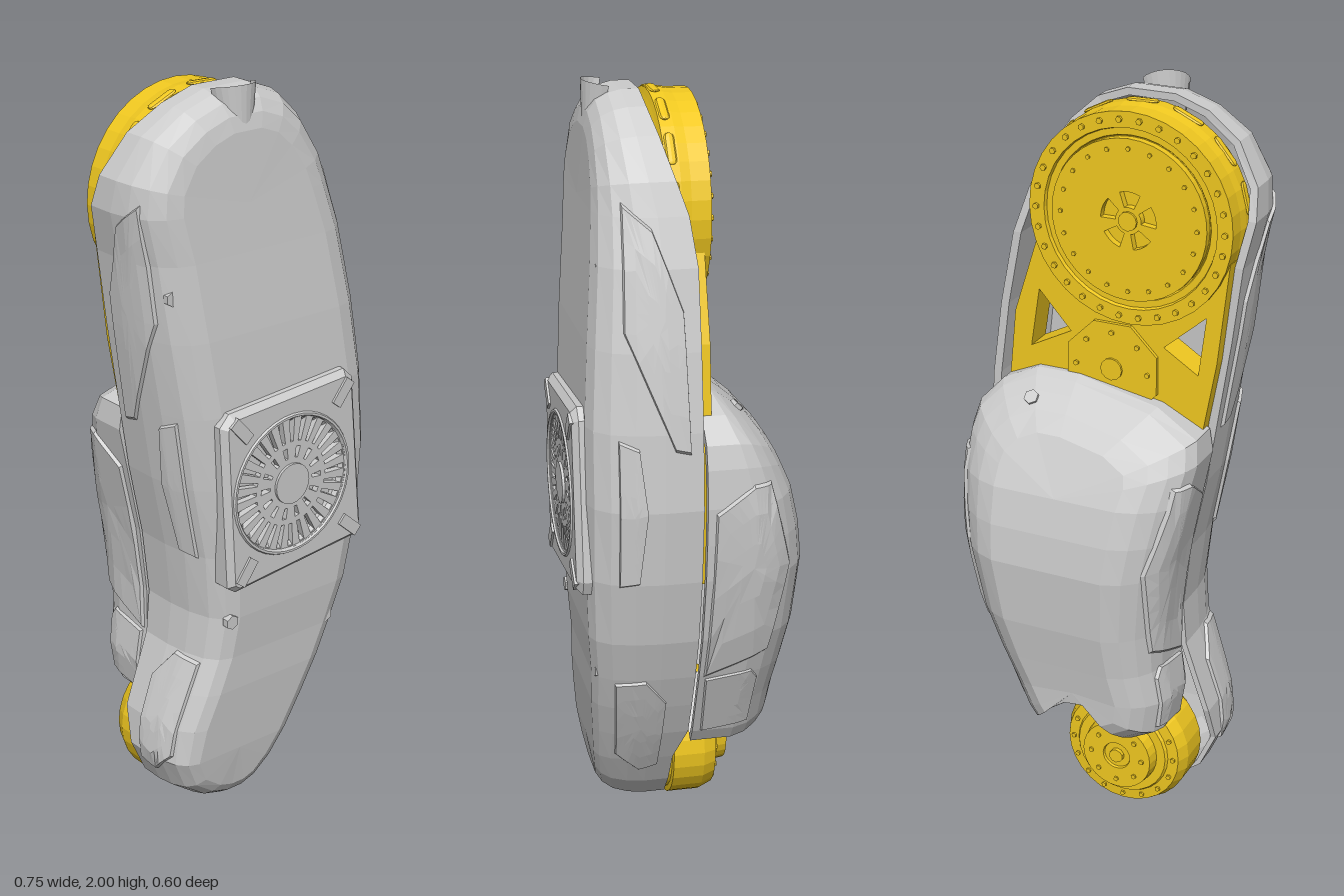
import * as THREE from 'three';

const grey = new THREE.MeshStandardMaterial({ color: 0xcccccc, flatShading: true, side: THREE.DoubleSide });
const yellow = new THREE.MeshStandardMaterial({ color: 0xf0c820, flatShading: true, side: THREE.DoubleSide });

// linear lookup of column c in rows sorted by column k
function look(rows, v, c, k = 0) {
  if (v <= rows[0][k]) return rows[0][c];
  for (let i = 1; i < rows.length; i++) {
    const a = rows[i - 1], b = rows[i];
    if (v <= b[k]) return a[c] + (b[c] - a[c]) * (v - a[k]) / (b[k] - a[k] || 1);
  }
  return rows[rows.length - 1][c];
}

function add(parent, name, geo, mat, x = 0, y = 0, z = 0) {
  const m = new THREE.Mesh(geo, mat);
  m.name = name;
  m.position.set(x, y, z);
  parent.add(m);
  return m;
}

// surface through a list of closed loops of points
function loft(loops) {
  const n = loops[0].length, idx = [];
  for (let k = 0; k < loops.length - 1; k++) for (let i = 0; i < n; i++) {
    const j = (i + 1) % n, a = k * n + i, b = k * n + j, c = b + n, d = a + n;
    idx.push(a, b, c, a, c, d);
  }
  const g = new THREE.BufferGeometry();
  g.setAttribute('position', new THREE.Float32BufferAttribute(loops.flat(2), 3));
  g.setIndex(idx);
  g.computeVertexNormals();
  return g;
}

// shell rows: y, left edge x, right edge x, depth of the outer face
const front = {
  sign: 1, lo: 0.2, hi: 1.72, extra: [],
  rows: [[0.01, -0.09, -0.03, 0.17], [0.035, -0.16, 0.02, 0.19], [0.1, -0.245, 0.075, 0.21], [0.2, -0.29, 0.135, 0.225],
    [0.3, -0.28, 0.19, 0.235], [0.4, -0.245, 0.235, 0.245], [0.5, -0.21, 0.275, 0.25], [0.62, -0.2, 0.315, 0.262],
    [0.8, -0.22, 0.352, 0.27], [1, -0.26, 0.37, 0.27], [1.2, -0.29, 0.357, 0.268], [1.4, -0.32, 0.33, 0.255],
    [1.6, -0.345, 0.29, 0.238], [1.72, -0.37, 0.25, 0.228], [1.8, -0.362, 0.22, 0.222], [1.9, -0.3, 0.155, 0.217],
    [1.96, -0.21, 0.09, 0.212], [1.99, -0.12, 0.01, 0.21]],
  rim: y => y < 0.3 ? look([[0.2, 0.02], [0.3, -0.01]], y, 1) : look([[1.68, -0.01], [1.75, 0.015], [1.97, 0.08]], y, 1),
  // scale towards the spine, share of the depth
  levels: [[1, 0], [1, 0.35], [0.97, 0.6], [0.9, 0.82], [0.79, 0.95], [0.65, 1], [0, 1]],
};
const rear = {
  sign: -1, lo: 0.42, hi: 1,
  rows: [[0.26, -0.13, 0.17, 0.24], [0.3, -0.2, 0.195, 0.245], [0.4, -0.215, 0.235, 0.25], [0.5, -0.2, 0.275, 0.265],
    [0.62, -0.2, 0.315, 0.285], [0.8, -0.22, 0.352, 0.3], [0.9, -0.24, 0.362, 0.29], [1, -0.26, 0.368, 0.268],
    [1.1, -0.28, 0.36, 0.225], [1.16, -0.27, 0.345, 0.19], [1.22, -0.15, 0.29, 0.14], [1.26, 0.08, 0.2, 0.1]],
  extra: [[-0.1, 0.33], [-0.03, 0.36], [0.06, 0.35], [0.13, 0.3]], // arch over the lower drive
  rim: () => 0.02,
  levels: [[1, 0], [1, 0.5], [0.95, 0.68], [0.85, 0.82], [0.72, 0.93], [0.55, 1], [0, 1]],
};

function shellGeometry(s) {
  const pts = [...s.extra, ...s.rows.map(r => [r[2], r[0]]), ...[...s.rows].reverse().map(r => [r[1], r[0]])];
  if (s.sign < 0) pts.reverse();
  const inner = [[0.93, 0], [0.92, 0.45], [0.82, 0.75], [0.6, 0.86], [0, 0.86]];
  const loop = ([k, f]) => pts.map(([x, y]) => {
    const sy = THREE.MathUtils.clamp(y, s.lo, s.hi);
    const sx = (look(s.rows, sy, 1) + look(s.rows, sy, 2)) / 2;
    const py = sy + (y - sy) * k, r = s.rim(y);
    return [sx + (x - sx) * k, py, s.sign * (r + (look(s.rows, py, 3) - r) * f)];
  });
  return loft([...inner.reverse(), ...s.levels].map(loop));
}

// x of a shell's side wall at height y and depth z
function wallX(s, side, y, z) {
  const r = s.rim(y), f = (s.sign * z - r) / (look(s.rows, y, 3) - r);
  const k = look(s.levels.slice(1), f, 0, 1);
  const l = look(s.rows, y, 1), rt = look(s.rows, y, 2);
  return (l + rt) / 2 + side * k * (rt - l) / 2;
}

// raised panel following a side wall; corners are [z, y]
function panelGeometry(s, side, corners) {
  const n = corners.length, edge = [];
  corners.forEach((a, i) => {
    const b = corners[(i + 1) % n];
    for (let t = 0; t < 1; t += 0.25) edge.push([a[0] + (b[0] - a[0]) * t, a[1] + (b[1] - a[1]) * t]);
  });
  const cz = corners.reduce((t, c) => t + c[0], 0) / n, cy = corners.reduce((t, c) => t + c[1], 0) / n;
  return loft([[1, -0.006], [0.95, 0.009], [0.65, 0.009], [0.3, 0.009], [0, 0.009]].map(([k, o]) => edge.map(p => {
    const z = cz + (p[0] - cz) * k, y = cy + (p[1] - cy) * k;
    return [wallX(s, side, y, z) + side * o, y, z];
  })));
}

const shapeOf = pts => new THREE.Shape(pts.map(p => new THREE.Vector2(...p)));
const circle = (r, x = 0, y = 0) => new THREE.Path().absarc(x, y, r, 0, Math.PI * 2, true);
const disc = r => new THREE.Shape().absarc(0, 0, r, 0, Math.PI * 2, false);
const extrude = (shape, depth, bevel = 0) => new THREE.ExtrudeGeometry(shape, {
  depth, bevelEnabled: bevel > 0, bevelSize: bevel, bevelThickness: bevel, bevelSegments: 1, curveSegments: 20 });
const rod = (r, h, n = 6) => new THREE.CylinderGeometry(r, r, h, n).rotateX(Math.PI / 2);
// turned part about the z axis; profile points are [radius, z]
const turned = (pts, n) => new THREE.LatheGeometry(pts.map(([r, z]) => new THREE.Vector2(r, z)), n).rotateX(Math.PI / 2);

function ringOf(parent, name, count, radius, z, make, phase = 0) {
  for (let i = 0; i < count; i++) {
    const a = phase + i / count * Math.PI * 2;
    add(parent, name, make(), yellow, Math.cos(a) * radius, Math.sin(a) * radius, z).rotation.z = a;
  }
}

// radial slot outlines between two radii
function slots(shape, count, r0, r1, w) {
  for (let i = 0; i < count; i++) {
    const a = i / count * Math.PI * 2, c = Math.cos(a), s = Math.sin(a);
    shape.holes.push(new THREE.Path([[r0, -w * 0.6], [r0, w * 0.6], [r1, w], [r1, -w]].map(
      ([r, t]) => new THREE.Vector2(r * c - t * s, r * s + t * c))));
  }
}

function fanVent() {
  const g = new THREE.Group();
  g.name = 'fanVent';
  g.position.set(0.03, 0.975, 0);
  const frame = shapeOf([[-0.17, -0.245], [0.225, -0.205], [0.235, -0.18], [0.195, 0.23], [0.175, 0.25],
    [-0.19, 0.222], [-0.21, 0.2], [-0.185, -0.235]]);
  frame.holes.push(circle(0.185));
  add(g, 'ventFrame', extrude(frame, 0.06, 0.016), grey, 0, 0, 0.222);
  const grille = disc(0.19);
  slots(grille, 28, 0.115, 0.178, 0.008);
  slots(grille, 14, 0.07, 0.1, 0.007);
  add(g, 'ventGrille', extrude(grille, 0.018), grey, 0, 0, 0.276);
  add(g, 'ventHub', rod(0.055, 0.012, 24), grey, 0, 0, 0.295);
  add(g, 'ventRing', new THREE.TorusGeometry(0.188, 0.006, 6, 40), grey, 0, 0, 0.298);
  for (const [x, y] of [[-0.17, 0.19], [0.165, 0.21], [0.2, -0.175], [-0.15, -0.205]]) {
    add(g, 'ventStrut', new THREE.BoxGeometry(0.075, 0.032, 0.012), grey, x, y, 0.298).rotation.z = Math.atan2(y, x);
  }
  return g;
}

function upperDrive() {
  const g = new THREE.Group();
  g.name = 'upperDrive';
  g.position.set(-0.06, 1.7, 0);
  add(g, 'driveHousing', turned([[0, 0.08], [0.2, 0.08], [0.265, 0.055], [0.28, 0.05], [0.28, 0.015], [0.276, -0.01],
    [0.276, -0.06], [0.235, -0.06], [0.232, -0.05], [0.215, -0.05], [0.212, -0.045], [0, -0.045]].reverse(), 36), yellow);
  const face = disc(0.21);
  for (let i = 0; i < 5; i++) {
    const a = i / 5 * Math.PI * 2, h = new THREE.Path();
    h.absarc(0, 0, 0.075, a, a + 0.75, false);
    h.absarc(0, 0, 0.035, a + 0.75, a, true);
    face.holes.push(h);
  }
  add(g, 'driveFace', extrude(face, 0.02), yellow, 0, 0, -0.066);
  add(g, 'driveHub', rod(0.025, 0.01, 12), yellow, 0, 0, -0.067);
  ringOf(g, 'rimBolt', 30, 0.256, -0.061, () => rod(0.008, 0.012));
  ringOf(g, 'faceBolt', 20, 0.185, -0.067, () => rod(0.006, 0.008));
  ringOf(g, 'rimSlot', 14, 0.279, 0.033, () => new THREE.CapsuleGeometry(0.013, 0.06, 3, 8).scale(0.4, 1, 1), 0.2);
  add(g, 'cableSocket', new THREE.BoxGeometry(0.085, 0.08, 0.07), yellow, 0, 0.2, 0.105);
  return g;
}

function drivePlate() {
  const g = new THREE.Group();
  g.name = 'drivePlate';
  const plate = shapeOf([[-0.325, 1.62], [-0.295, 1.35], [-0.25, 1.1], [-0.17, 0.75], [0.25, 0.75], [0.3, 1.1], [0.27, 1.4], [0.2, 1.62]]);
  plate.holes.push(shapeOf([[-0.265, 1.47], [-0.245, 1.31], [-0.15, 1.37]]), shapeOf([[0.2, 1.47], [0.225, 1.31], [0.11, 1.37]]));
  add(g, 'plate', extrude(plate, 0.08), yellow, 0, 0, -0.045);
  add(g, 'octagonCover', rod(0.135, 0.012, 8), yellow, -0.01, 1.29, -0.049).rotation.z = Math.PI / 8;
  add(g, 'coverHub', rod(0.03, 0.012, 12), yellow, -0.01, 1.29, -0.055);
  for (let i = 0; i < 8; i++) {
    add(g, 'coverBolt', rod(0.007, 0.01), yellow, -0.01 + 0.1 * Math.cos(i * Math.PI / 4), 1.29 + 0.1 * Math.sin(i * Math.PI / 4), -0.056);
  }
  return g;
}

function lowerDrive() {
  const g = new THREE.Group();
  g.name = 'lowerDrive';
  g.position.set(-0.07, 0.185, 0);
  add(g, 'lowerHousing', turned([[0, 0.05], [0.15, 0.05], [0.165, 0.012], [0.18, 0.01], [0.18, -0.075], [0.165, -0.11], [0.135, -0.112],
    [0.13, -0.12], [0.105, -0.12], [0.1, -0.155], [0.04, -0.155], [0.038, -0.148], [0, -0.148]].reverse(), 28), yellow);
  ringOf(g, 'lowerBolt', 16, 0.149, -0.112, () => rod(0.007, 0.01));
  ringOf(g, 'hubBolt', 8, 0.075, -0.156, () => rod(0.007, 0.008));
  add(g, 'hubCap', rod(0.02, 0.014, 10), yellow, 0, 0, -0.152);
  return g;
}

export function createModel() {
  const model = new THREE.Group();
  model.name = 'robotLimbLink';

  // shells and their side panels
  add(model, 'frontShell', shellGeometry(front), grey);
  add(model, 'rearShell', shellGeometry(rear), grey);
  const panels = [
    ['upperSidePanel', front, [[0.17, 1.76], [0.1, 1.7], [0.03, 1.5], [0.02, 1.14], [0.06, 1.15], [0.18, 1.45]]],
    ['middleSidePanel', front, [[0.2, 1.19], [0.15, 1.17], [0.13, 1], [0.15, 0.8], [0.2, 0.79]]],
    ['lowerSidePanel', front, [[0.2, 0.49], [0.12, 0.5], [0.06, 0.42], [0.06, 0.17], [0.11, 0.15], [0.18, 0.22]]],
    ['rearSidePanel', rear, [[-0.04, 0.99], [-0.14, 1.06], [-0.19, 1.06], [-0.25, 0.82], [-0.2, 0.56], [-0.03, 0.49]]],
    ['rearLowerPanel', rear, [[-0.035, 0.49], [-0.16, 0.51], [-0.18, 0.48], [-0.17, 0.32], [-0.04, 0.3]]],
  ];
  for (const [name, shell, corners] of panels) for (const side of [-1, 1]) {
    add(model, name, panelGeometry(shell, side, corners), grey);
  }

  // cable spout at the top, open upwards
  add(model, 'cableSpout', new THREE.CylinderGeometry(0.062, 0.012, 0.27, 12, 1, true, -Math.PI / 2, Math.PI), grey, -0.06, 1.864, 0.176).rotation.x = -0.17;

  // screws on both shells
  for (const [x, y, z] of [[-0.285, 1.52, 0.205], [0.195, 1.59, 0.22], [-0.137, 0.615, 0.255], [0.206, 0.515, 0.235]]) {
    add(model, 'frontScrew', rod(0.02, 0.02), grey, x, y, z);
  }
  for (const [x, y, z] of [[-0.17, 1.12, -0.165], [0.18, 1.2, -0.13]]) {
    add(model, 'rearScrew', rod(0.02, 0.03), grey, x, y, z).rotation.x = 0.8;
  }

  model.add(fanVent(), upperDrive(), drivePlate(), lowerDrive());
  return model;
}
